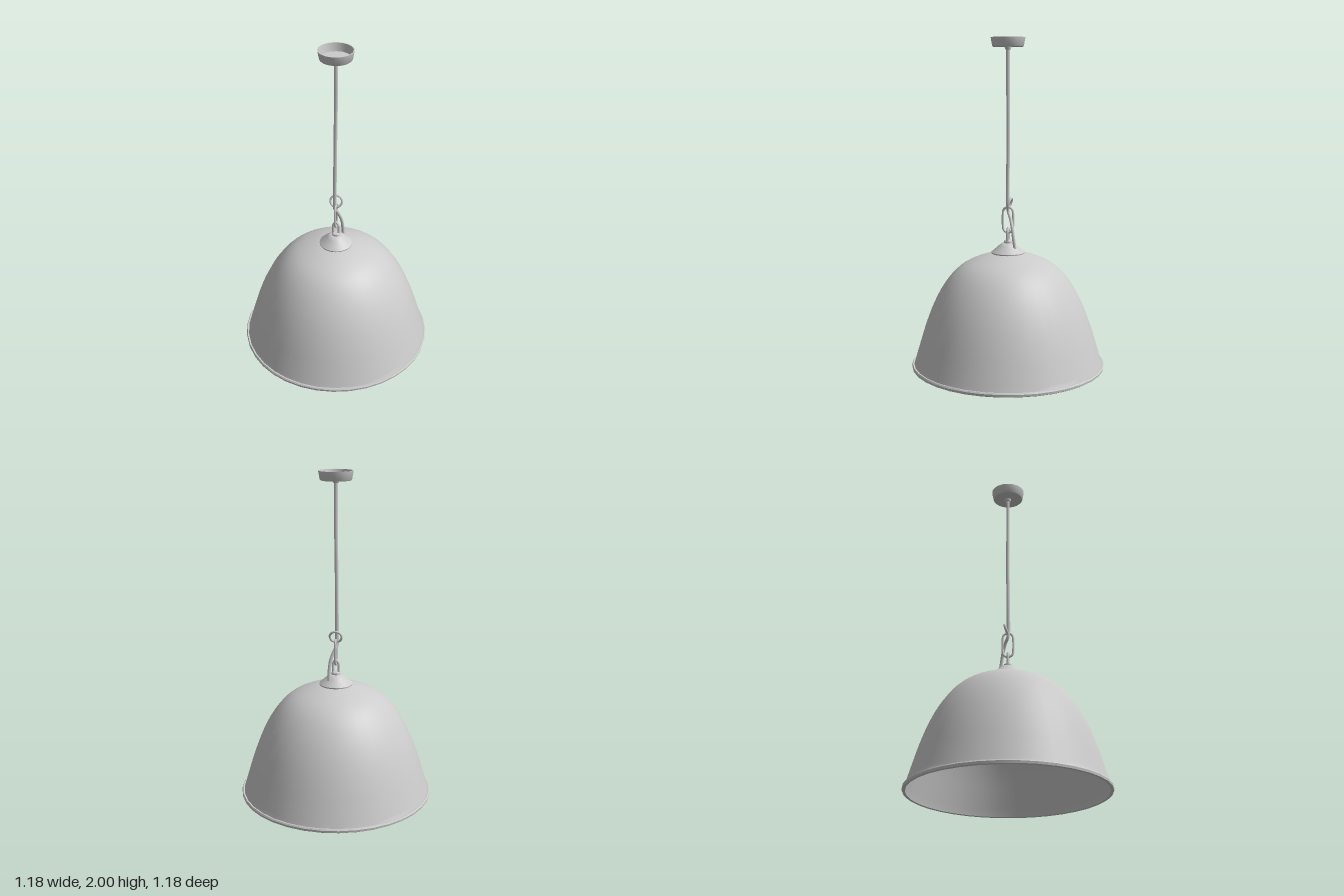
import * as THREE from 'three';
import { toCreasedNormals } from 'three/addons/utils/BufferGeometryUtils.js';

const material = new THREE.MeshStandardMaterial({ color: 0xcccccc, side: THREE.DoubleSide });
const v3 = (p) => new THREE.Vector3(...p);

export function createModel() {
  const model = new THREE.Group();

  const add = (name, geometry) => {
    const mesh = new THREE.Mesh(geometry, material);
    mesh.name = name;
    model.add(mesh);
    return mesh;
  };
  const lathe = (name, points, sides) =>
    add(name, toCreasedNormals(
      new THREE.LatheGeometry(points.map((p) => new THREE.Vector2(...p)), sides), 0.6));
  const tube = (name, points, radius, segments, closed = false) =>
    add(name, new THREE.TubeGeometry(
      new THREE.CatmullRomCurve3(points.map(v3), closed), segments, radius, 8, closed));

  // Domed shade: outer skin, rolled rim, thin inner skin
  const dome = new THREE.SplineCurve([
    [0.02, 0.715], [0.1, 0.705], [0.19, 0.677], [0.275, 0.635], [0.345, 0.572], [0.41, 0.48],
    [0.465, 0.37], [0.51, 0.25], [0.547, 0.13], [0.578, 0.025],
  ].map((p) => new THREE.Vector2(...p))).getPoints(27).map((p) => [p.x, p.y]);
  const inner = dome.map(([r, y]) => [Math.max(r - 0.008, 0), y - 0.008]).reverse();
  lathe('shade', [...dome, [0.587, 0.026], [0.592, 0.018], [0.59, 0.005], [0.582, 0],
    [0.573, 0.004], ...inner], 36);

  // Conical cap on top of the shade
  lathe('shadeCap', [[0.1, 0.7], [0.102, 0.712], [0.085, 0.727], [0.055, 0.753], [0.045, 0.763],
    [0.03, 0.769], [0, 0.77]], 32);
  lathe('capCollar', [[0.026, 0.765], [0.026, 0.78], [0.02, 0.786], [0, 0.786]], 16);

  // Upright eye fixed to the cap
  tube('capEye', [[-0.017, 0.765, 0], [-0.017, 0.8, 0], [-0.015, 0.84, 0], [0, 0.858, 0],
    [0.015, 0.84, 0], [0.017, 0.8, 0], [0.017, 0.765, 0]], 0.008, 28);

  // Long chain link, set across the eye
  const link = [];
  for (let i = 0; i < 16; i++) {
    const a = ((i + 0.5) / 16) * Math.PI * 2;
    link.push([0, 0.91 + Math.sign(Math.sin(a)) * 0.047 + Math.sin(a) * 0.031, Math.cos(a) * 0.031]);
  }
  tube('chainLink', link, 0.007, 48, true);

  // Round ring at the end of the pendant rod, leaning slightly back
  const ring = add('ring', new THREE.TorusGeometry(0.036, 0.007, 8, 28));
  ring.position.set(0, 1.008, -0.01);
  ring.rotation.x = -0.3;

  // Pendant rod and the cable that bends round the chain into the cap
  tube('pendantRod', [[0, 1.95, 0], [0, 1.7, 0], [-0.004, 1.4, 0], [-0.006, 1.1, 0.003],
    [-0.006, 0.99, 0.004]], 0.011, 24);
  tube('cable', [[-0.006, 1.0, 0.004], [-0.008, 0.96, 0], [0.008, 0.92, -0.018],
    [0.026, 0.87, -0.032], [0.034, 0.81, -0.042], [0.034, 0.74, -0.052]], 0.01, 32);

  // Open ceiling cup with its cable gland
  lathe('ceilingCup', [[0, 1.945], [0.09, 1.945], [0.094, 1.95], [0.103, 2], [0.097, 2],
    [0.089, 1.952], [0, 1.952]], 32);
  lathe('cableGland', [[0.012, 1.928], [0.018, 1.932], [0.021, 1.946], [0.021, 1.956],
    [0.012, 1.956]], 16);

  return model;
}
